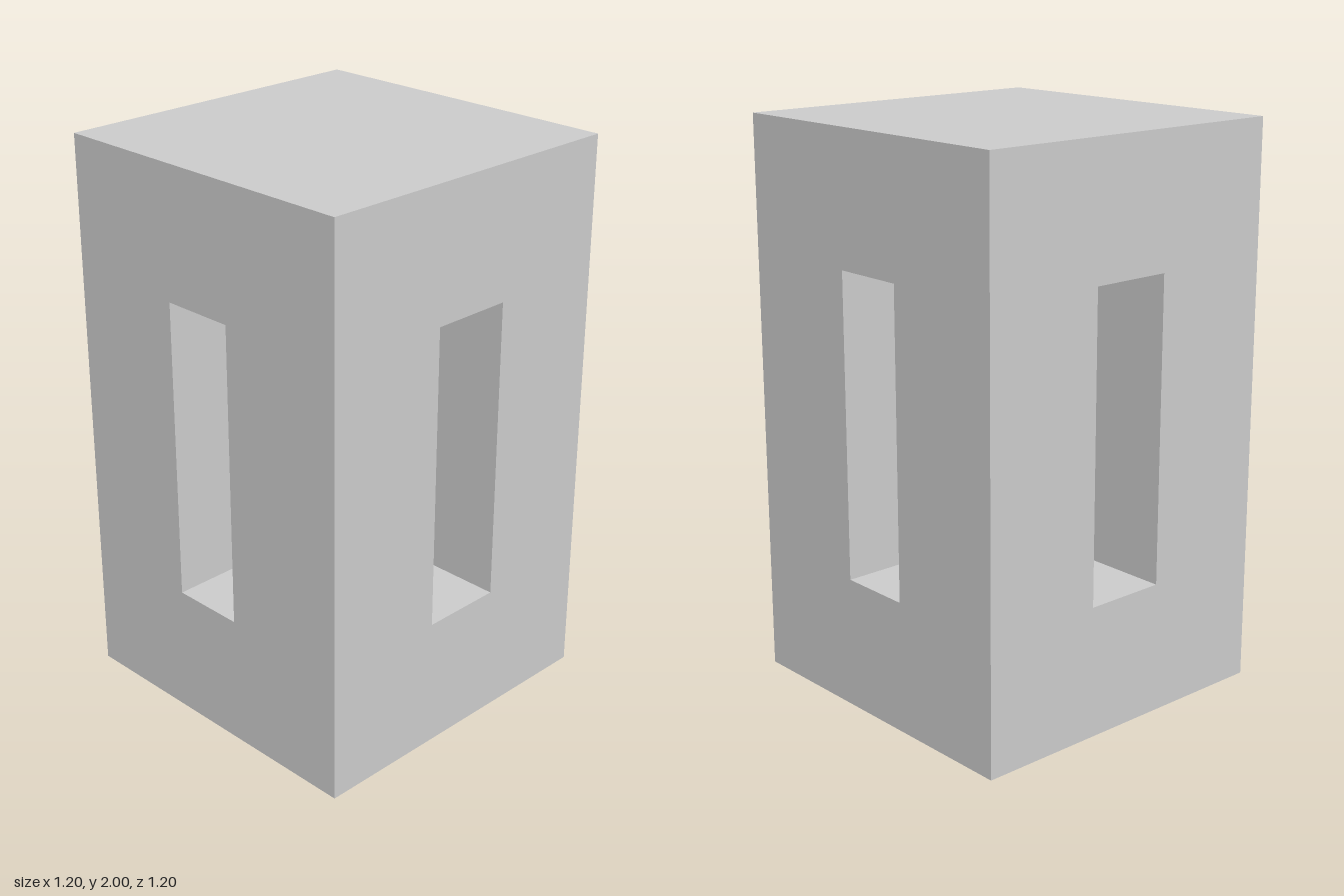
import * as THREE from 'three';

const material = new THREE.MeshStandardMaterial({ color: 0xcccccc, flatShading: true, side: THREE.DoubleSide });

// Thin box between two corners; openBottom leaves out the underside
function box(name, [x0, y0, z0], [x1, y1, z1], openBottom = false) {
  const geometry = new THREE.BoxGeometry(x1 - x0, y1 - y0, z1 - z0);
  if (openBottom) {
    const index = Array.from(geometry.index.array);
    index.splice(18, 6); // fourth face is the underside
    geometry.setIndex(index);
    geometry.clearGroups();
  }
  geometry.translate((x0 + x1) / 2, (y0 + y1) / 2, (z0 + z1) / 2);
  const mesh = new THREE.Mesh(geometry, material);
  mesh.name = name;
  return mesh;
}

export function createModel() {
  const group = new THREE.Group();
  group.name = 'openTower';
  const half = 0.6, sill = 0.466, lintel = 1.537, top = 2;

  // Hollow base and cap, both open underneath
  group.add(box('base', [-half, 0, -half], [half, sill, half], true));
  group.add(box('cap', [-half, lintel, -half], [half, top, half], true));

  // Four corner pillars leaving a window through each side
  const xSpans = { Right: [-half, -0.147], Left: [0.122, half] };
  const zSpans = { back: [-half, -0.155], front: [0.143, half] };
  for (const [side, [x0, x1]] of Object.entries(xSpans)) {
    for (const [end, [z0, z1]] of Object.entries(zSpans)) {
      group.add(box(`${end}${side}Pillar`, [x0, sill, z0], [x1, lintel, z1]));
    }
  }
  return group;
}
